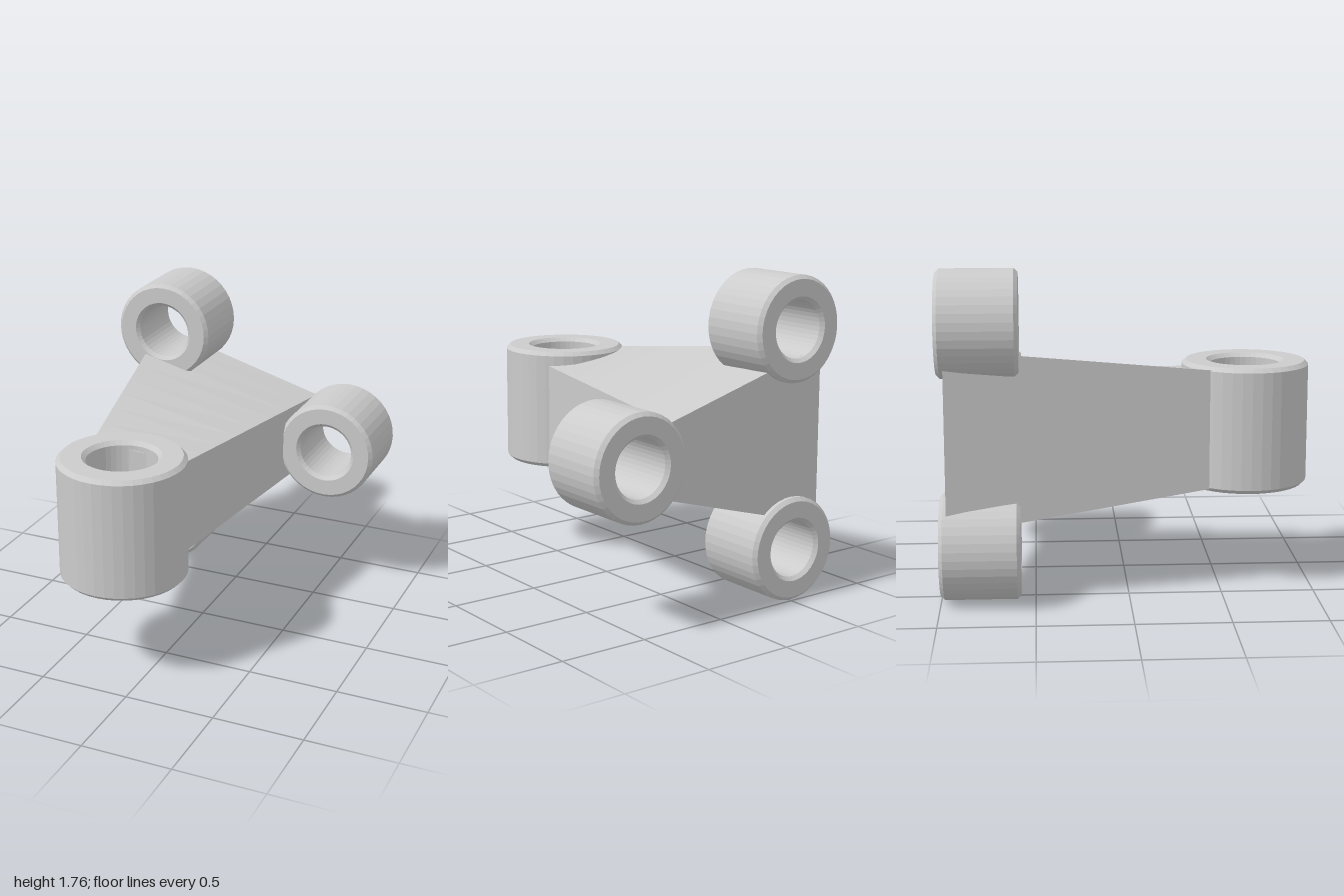
import * as THREE from 'three';

const MID = 0.88; // height of the symmetry plane

export function createModel() {
  const group = new THREE.Group();
  const material = new THREE.MeshStandardMaterial({ color: 0xcccccc, flatShading: true });

  const add = (name, geometry, x, y, z) => {
    const mesh = new THREE.Mesh(geometry, material);
    mesh.name = name;
    mesh.position.set(x, y, z);
    group.add(mesh);
    return mesh;
  };

  // Hollow bushing with chamfered rims, axis along y
  const bushing = (outer, bore, half, c) => new THREE.LatheGeometry([
    [bore + c, -half], [outer - c, -half], [outer, -half + c], [outer, half - c],
    [outer - c, half], [bore + c, half], [bore, half - c], [bore, -half + c], [bore + c, -half],
  ].map(([r, y]) => new THREE.Vector2(r, y)), 40);

  // Upright bushing at the front
  add('frontBushing', bushing(0.345, 0.19, 0.34, 0.022), -0.17, MID, 0.653);

  // Three bushings at the back, bores running front to back
  const small = bushing(0.285, 0.155, 0.212, 0.02);
  for (const [name, x, y] of [
    ['upperBackBushing', -0.515, 1.475],
    ['lowerBackBushing', -0.515, 0.285],
    ['sideBackBushing', 0.515, MID],
  ]) add(name, small, x, y, -0.788).rotation.x = Math.PI / 2;

  // Tapered body joining them: trapezoid sections, tall on one side, short on the other
  const sections = [
    { z: -0.96, tallX: -0.702, tall: 0.488, shortX: 0.322, short: 0.198 },
    { z: 0.47, tallX: -0.43, tall: 0.32, shortX: 0.087, short: 0.262 },
  ];
  const steps = 8;
  const positions = [];
  const index = [];
  for (let i = 0; i <= steps; i++) {
    const at = (key) => THREE.MathUtils.lerp(sections[0][key], sections[1][key], i / steps);
    const z = at('z');
    positions.push(
      at('tallX'), MID - at('tall'), z,
      at('shortX'), MID - at('short'), z,
      at('shortX'), MID + at('short'), z,
      at('tallX'), MID + at('tall'), z,
    );
    if (i === steps) break;
    for (let k = 0; k < 4; k++) {
      const a = i * 4 + k, b = i * 4 + (k + 1) % 4;
      index.push(a, b, b + 4, a, b + 4, a + 4);
    }
  }
  const e = steps * 4;
  index.push(0, 2, 1, 0, 3, 2, e, e + 1, e + 2, e, e + 2, e + 3);
  const body = new THREE.BufferGeometry();
  body.setAttribute('position', new THREE.Float32BufferAttribute(positions, 3));
  body.setIndex(index);
  const flatBody = body.toNonIndexed();
  flatBody.computeVertexNormals();
  add('taperedBody', flatBody, 0, 0, 0);

  return group;
}
